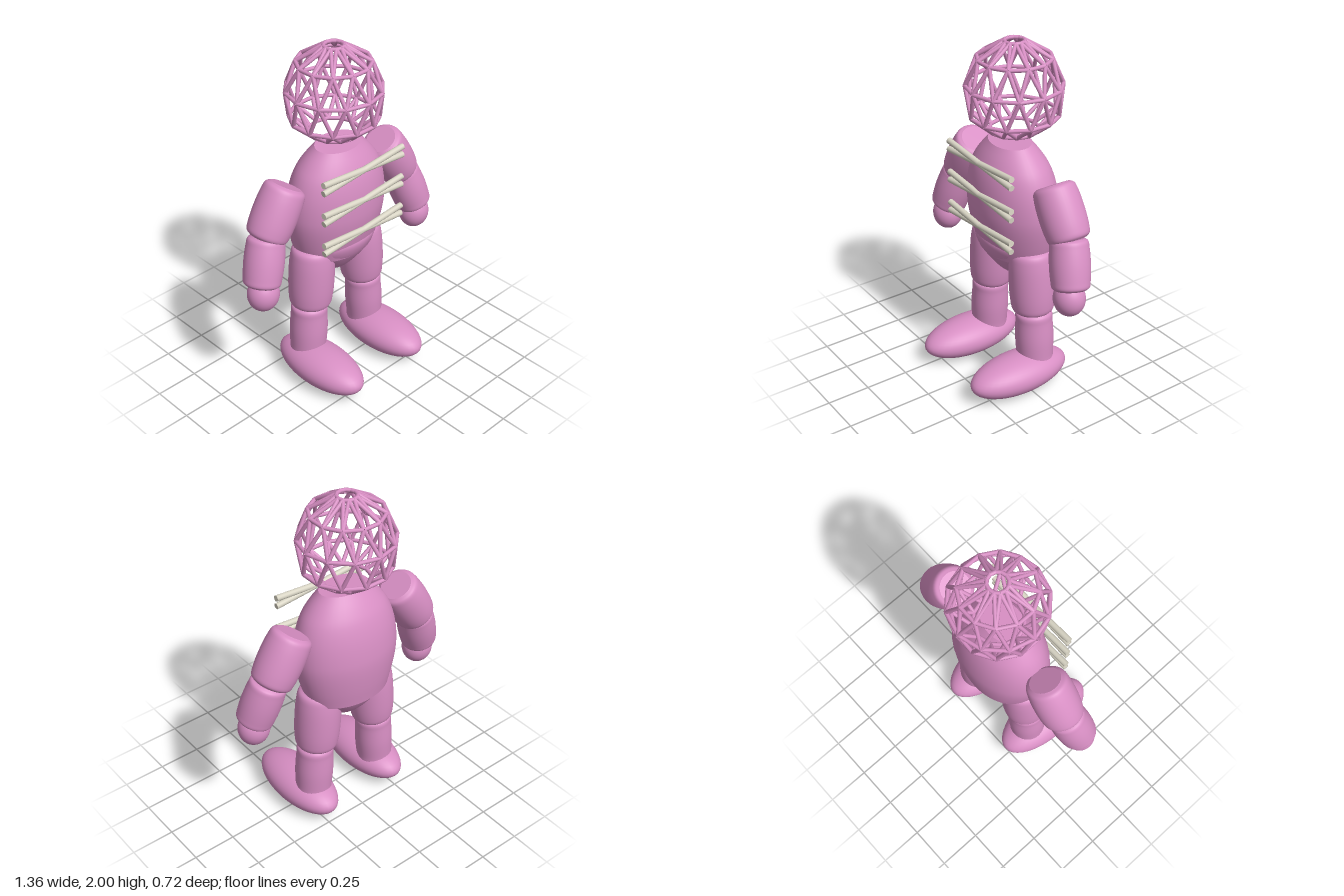
import * as THREE from 'three';
import { mergeGeometries } from 'three/addons/utils/BufferGeometryUtils.js';

const UP = new THREE.Vector3(0, 1, 0);
const V = (x, y, z) => new THREE.Vector3(x, y, z);

// Straight round bar between two points
function rod(a, b, radius, sides = 8) {
  const d = b.clone().sub(a);
  const g = new THREE.CylinderGeometry(radius, radius, d.length(), sides);
  g.applyQuaternion(new THREE.Quaternion().setFromUnitVectors(UP, d.normalize()));
  const m = a.clone().add(b).multiplyScalar(0.5);
  return g.translate(m.x, m.y, m.z);
}

// Turned solid from [radius, y] points, bottom to top, smooth sides and flat ends
function turned(profile) {
  const curve = new THREE.CatmullRomCurve3(profile.map(([r, y]) => V(r, y, 0)));
  const side = curve.getPoints(28).map(p => new THREE.Vector2(p.x, p.y));
  const first = side[0], last = side[side.length - 1];
  return new THREE.LatheGeometry([
    new THREE.Vector2(0, first.y), first.clone(), ...side,
    last.clone(), new THREE.Vector2(0, last.y)], 40);
}

// Barrel-shaped limb segment from the lower point to the upper point
function barrel(lower, upper, radius, endRadius) {
  const d = upper.clone().sub(lower), h = d.length();
  const mid = (radius + endRadius) / 2;
  const g = turned([
    [endRadius, 0], [mid + 0.004, 0.05 * h], [radius * 0.96, 0.18 * h], [radius, 0.5 * h],
    [radius * 0.96, 0.82 * h], [mid + 0.004, 0.95 * h], [endRadius, h]]);
  g.applyQuaternion(new THREE.Quaternion().setFromUnitVectors(UP, d.normalize()));
  return g.translate(lower.x, lower.y, lower.z);
}

function ellipsoid(c, rx, ry, rz) {
  return new THREE.SphereGeometry(1, 40, 24).scale(rx, ry, rz).translate(c.x, c.y, c.z);
}

// Open triangulated cage, alternate rings turned by half a step
function cage() {
  const n = 12, radius = 0.011;
  const rings = [[1.5, 0.135], [1.585, 0.24], [1.75, 0.26], [1.9, 0.2], [1.989, 0.055]];
  const point = (k, i) => {
    const a = (i + (k % 2) / 2) / n * Math.PI * 2;
    return V(Math.sin(a) * rings[k][1], rings[k][0], Math.cos(a) * rings[k][1] - 0.09);
  };
  const bars = [];
  for (let k = 0; k < rings.length; k++) {
    for (let i = 0; i < n; i++) {
      const p = point(k, i);
      bars.push(rod(p, point(k, i + 1), radius));
      if (k + 1 < rings.length) {
        const shift = k % 2 ? 1 : -1;
        bars.push(rod(p, point(k + 1, i), radius), rod(p, point(k + 1, i + shift), radius));
      }
    }
  }
  return mergeGeometries(bars);
}

export function createModel() {
  const model = new THREE.Group();
  model.name = 'figure';
  const pink = new THREE.MeshStandardMaterial({ color: 0xd88fc4 });
  pink.name = 'pink';
  const bone = new THREE.MeshStandardMaterial({ color: 0xd9d5c5 });
  bone.name = 'bone';
  const add = (name, geometry, material = pink) => {
    const mesh = new THREE.Mesh(geometry, material);
    mesh.name = name;
    model.add(mesh);
    return mesh;
  };

  add('headCage', cage());

  // Trunk, flattened front to back and leaning slightly
  const torso = add('torso', turned([
    [0.255, -0.21], [0.285, -0.11], [0.308, 0], [0.313, 0.08], [0.298, 0.2],
    [0.262, 0.3], [0.212, 0.37], [0.145, 0.44]])
    .scale(1, 1, 0.7));
  torso.position.set(0, 1, -0.088);
  torso.rotation.x = 0.06;
  const hips = add('hips', turned([
    [0.07, 0.64], [0.11, 0.668], [0.175, 0.73], [0.232, 0.8], [0.255, 0.86], [0.245, 0.9]])
    .scale(1, 1, 0.77));
  hips.position.z = -0.09;

  // Limbs on both sides
  for (const [side, s] of [['left', 1], ['right', -1]]) {
    const P = (x, y, z) => V(s * x, y, z);
    add(side + 'UpperArm', barrel(P(0.51, 1.045, -0.085), P(0.35, 1.305, -0.087), 0.125, 0.088));
    add(side + 'Forearm', barrel(P(0.59, 0.805, -0.035), P(0.505, 1.06, -0.08), 0.11, 0.082));
    add(side + 'Hand', ellipsoid(P(0.585, 0.755, -0.03), 0.09, 0.1, 0.086));
    add(side + 'Thigh', barrel(P(0.205, 0.46, -0.08), P(0.178, 0.85, -0.08), 0.13, 0.09));
    add(side + 'Shin', barrel(P(0.23, 0.13, -0.08), P(0.212, 0.47, -0.08), 0.109, 0.088));
    add(side + 'Foot', ellipsoid(P(0.24, 0.11, 0.042), 0.15, 0.11, 0.314));
  }

  // Crossed bars over the chest
  for (const y of [1.35, 1.163, 0.973]) {
    for (const s of [1, -1]) {
      add('chestBar', rod(V(-0.293, y + s * 0.025, 0.135), V(0.293, y - s * 0.025, 0.135), 0.017, 16), bone);
    }
  }
  return model;
}
